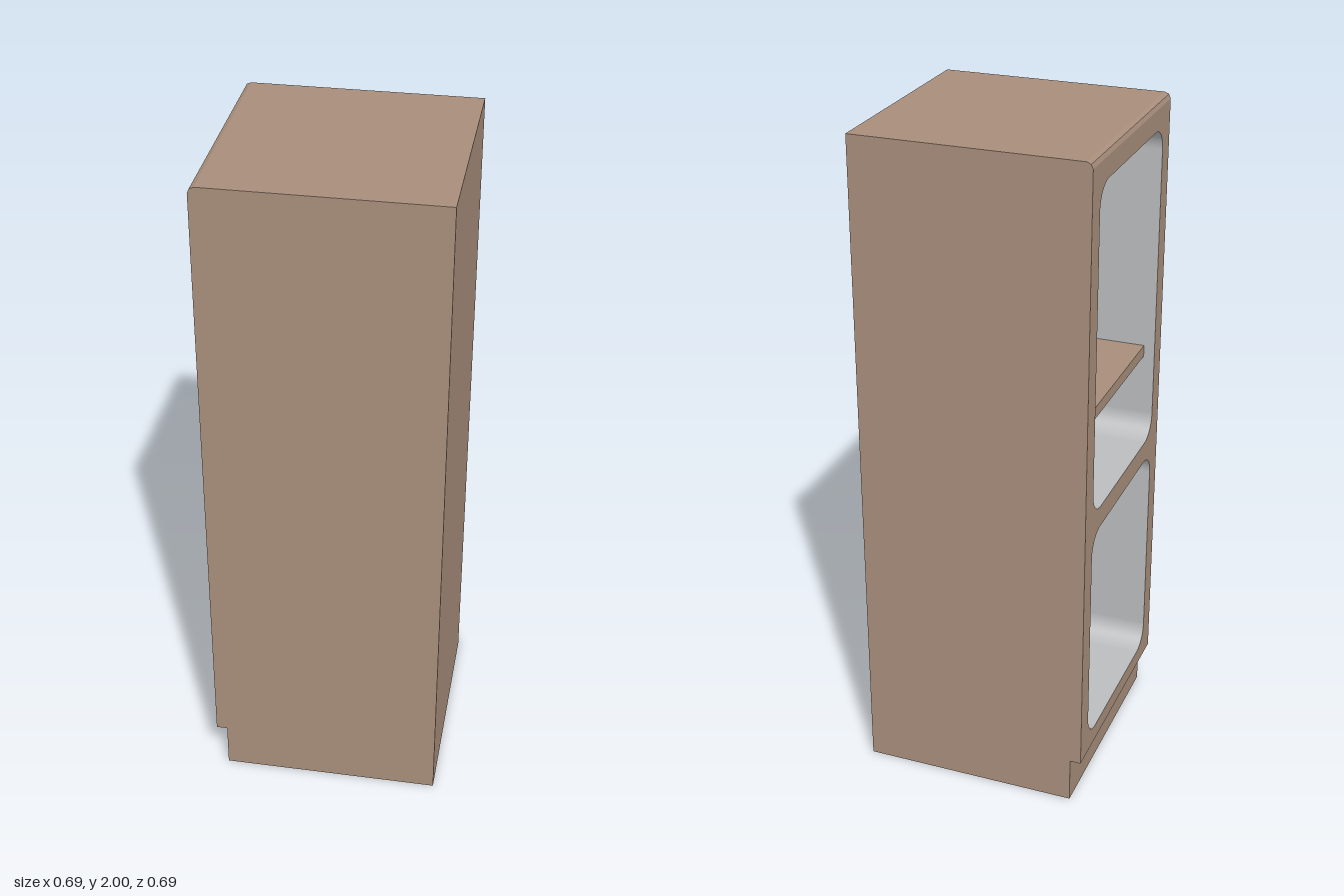
import * as THREE from 'three';

const W = 0.343, H = 2, KICK_Y = 0.14, KICK_X = -0.31;
const OPEN_Z = 0.28, BACK_X = 0.29, RADIUS = 0.07;

// Sweeps an open 2D profile between two ends; place(u, v, t) gives the 3D point
function sweep(points, place, from, to, smooth) {
  const positions = [], index = [];
  points.forEach((p, i) => {
    positions.push(...place(p.x, p.y, from), ...place(p.x, p.y, to));
    if (i > 0) {
      const a = 2 * (i - 1);
      index.push(a, a + 1, a + 2, a + 1, a + 3, a + 2);
    }
  });
  let geo = new THREE.BufferGeometry();
  geo.setAttribute('position', new THREE.Float32BufferAttribute(positions, 3));
  geo.setIndex(index);
  if (!smooth) geo = geo.toNonIndexed();
  geo.computeVertexNormals();
  return geo;
}

// Rounded opening outline in (z, y), starting mid-edge so the seam is on a flat
function openingPath(y0, y1, Type) {
  const s = new Type(), r = RADIUS, w = OPEN_Z;
  s.moveTo(0, y0);
  s.lineTo(w - r, y0);
  s.absarc(w - r, y0 + r, r, -Math.PI / 2, 0, false);
  s.lineTo(w, y1 - r);
  s.absarc(w - r, y1 - r, r, 0, Math.PI / 2, false);
  s.lineTo(-w + r, y1);
  s.absarc(-w + r, y1 - r, r, Math.PI / 2, Math.PI, false);
  s.lineTo(-w, y0 + r);
  s.absarc(-w + r, y0 + r, r, Math.PI, Math.PI * 1.5, false);
  s.lineTo(0, y0);
  return s;
}

// Flat panel drawn in (z, y), facing -x
function facePanel(shape, x) {
  return new THREE.ShapeGeometry(shape, 10).rotateY(-Math.PI / 2).translate(x, 0, 0);
}

export function createModel() {
  const wood = new THREE.MeshStandardMaterial({ color: 0xa88e7b, side: THREE.DoubleSide });
  wood.name = 'wood';
  const grey = new THREE.MeshStandardMaterial({ color: 0xbabcbe, side: THREE.DoubleSide });
  grey.name = 'grey liner';

  const model = new THREE.Group();
  model.name = 'cabinet';
  const add = (name, geometry, material) => {
    const mesh = new THREE.Mesh(geometry, material);
    mesh.name = name;
    model.add(mesh);
    return mesh;
  };

  // Carcass profile: kick recess, base, rear, top and eased top edge
  const ease = 0.018;
  const profile = [
    [-W, KICK_Y], [KICK_X, KICK_Y], [KICK_X, 0], [W, 0], [W, H],
    [-W + ease, H], [-W + ease * 0.3, H - ease * 0.3], [-W, H - ease],
  ].map(([x, y]) => new THREE.Vector2(x, y));
  add('carcassShell', sweep(profile, (x, y, z) => [x, y, z], W, -W, false), wood);

  // Side panels
  const side = new THREE.ShapeGeometry(new THREE.Shape(profile));
  add('sidePanelFront', side.clone().translate(0, 0, W), wood);
  add('sidePanelBack', side.clone().translate(0, 0, -W), wood);

  // Face frame with two rounded openings
  const openings = [['lower', 0.19, 0.885], ['upper', 0.95, 1.92]];
  const frame = new THREE.Shape([
    new THREE.Vector2(-W, KICK_Y), new THREE.Vector2(W, KICK_Y),
    new THREE.Vector2(W, H - ease), new THREE.Vector2(-W, H - ease),
  ]);
  openings.forEach(([, y0, y1]) => frame.holes.push(openingPath(y0, y1, THREE.Path)));
  add('faceFrame', facePanel(frame, -W), wood);

  // Compartment liners and their rear panels
  openings.forEach(([name, y0, y1]) => {
    const shape = openingPath(y0, y1, THREE.Shape);
    const place = (z, y, x) => [x, y, z];
    add(name + 'Liner', sweep(shape.getPoints(10), place, -W, BACK_X, true), grey);
    add(name + 'LinerBack', facePanel(shape, BACK_X), grey);
  });

  // Shelf in the upper compartment
  const shelfFront = -0.31;
  const shelf = add('shelf', new THREE.BoxGeometry(BACK_X - shelfFront, 0.035, OPEN_Z * 2), wood);
  shelf.position.set((BACK_X + shelfFront) / 2, 1.222, 0);

  return model;
}
